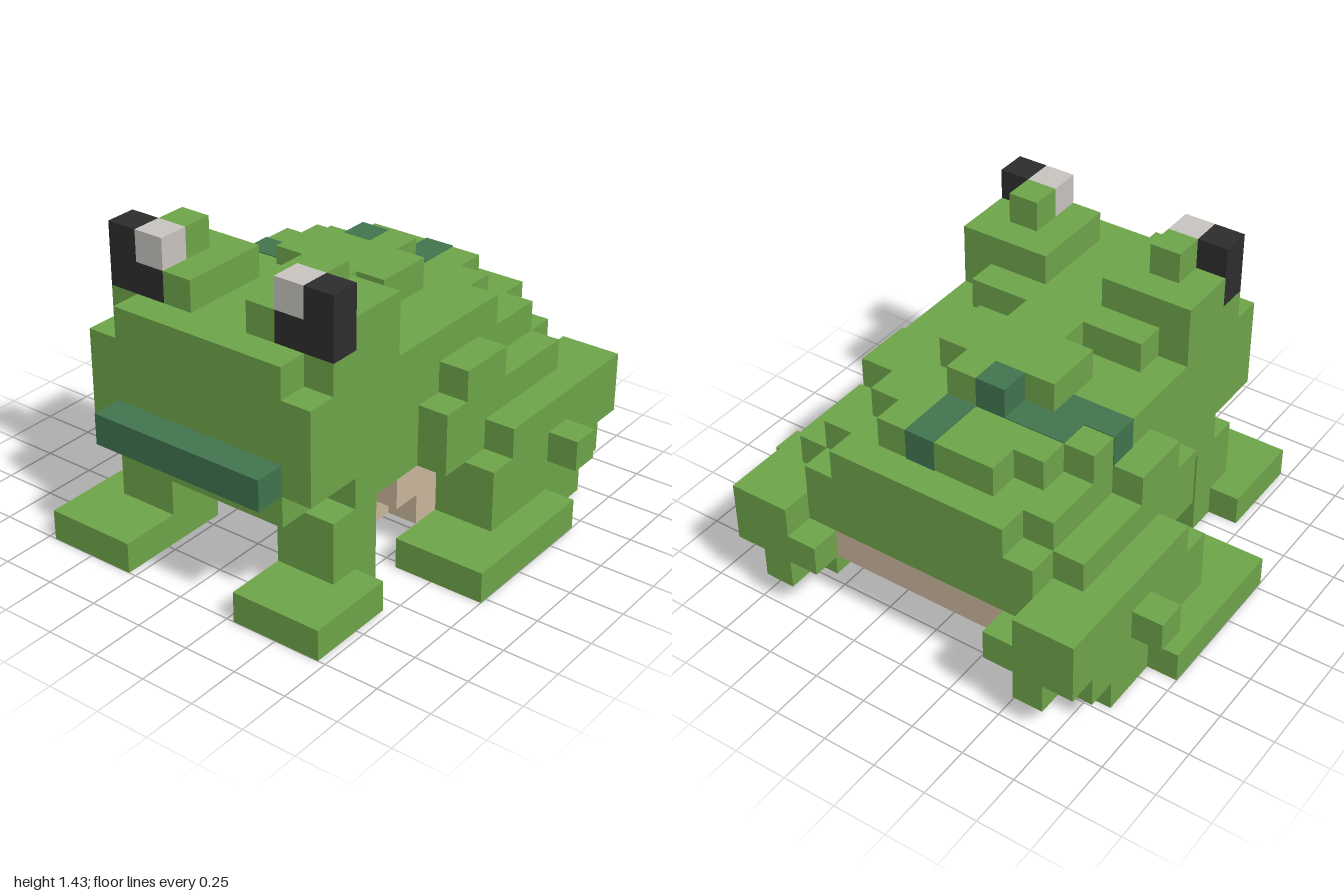
import * as THREE from 'three';

const U = 1 / 7; // edge of one block

const material = (name, color) => {
  const m = new THREE.MeshStandardMaterial({ color });
  m.name = name;
  return m;
};

export function createModel() {
  const green = material('skin green', 0x6fa54a);
  const teal = material('dark teal green', 0x42754f);
  const tan = material('belly tan', 0xcab79c);
  const black = material('eye black', 0x2d2d2d);
  const white = material('eye light grey', 0xc9c5bf);

  const model = new THREE.Group();
  model.name = 'frog';

  // Box between two corners, given in blocks
  const block = (parent, name, mat, x0, x1, y0, y1, z0, z1) => {
    const mesh = new THREE.Mesh(
      new THREE.BoxGeometry((x1 - x0) * U, (y1 - y0) * U, (z1 - z0) * U), mat);
    mesh.position.set((x0 + x1) * U / 2, (y0 + y1) * U / 2, (z0 + z1) * U / 2);
    mesh.name = name;
    parent.add(mesh);
  };
  // Layers symmetric about x = 0: [half width, y0, y1, z0, z1]
  const layers = (name, mat, list) => {
    const group = new THREE.Group();
    group.name = name;
    for (const [w, ...r] of list) block(group, name + 'Layer', mat, -w, w, ...r);
    model.add(group);
  };
  // Blocks made once for each side: [name, material, x0, x1, y0, y1, z0, z1]
  const pair = (name, list) => {
    for (const side of [1, -1]) {
      const group = new THREE.Group();
      group.name = (side > 0 ? 'left' : 'right') + name;
      for (const [n, mat, a, b, ...r] of list)
        block(group, n, mat, side > 0 ? a : -b, side > 0 ? b : -a, ...r);
      model.add(group);
    }
  };

  // Head and trunk
  layers('body', green, [
    [4, 3, 6, -5, 4],
    [4, 4, 7, 0, 6],
    [3, 3, 4, 4, 6],
    [3, 3, 6, -6, -5],
    [4, 4, 5, -6, -5],
    [5, 4, 5, -5, 1],
    [5, 5, 6, -2, 0],
  ]);
  // Stepped back
  layers('back', green, [
    [4, 6, 7, -3, 0],
    [3, 6, 7, -4, -3],
    [2, 6, 7, -5, -4],
    [3, 7, 8, 5, 6],
    [4, 7, 8, 2, 5],
    [3, 7, 8, 1, 2],
    [1, 7, 8, 0, 1],
    [2, 7, 8, -2, 0],
  ]);
  block(model, 'backRidgeEnd', green, 0, 1, 7, 8, -3, -2);

  // Markings on the back
  const e = 0.03;
  block(model, 'backSpot', teal, -1, 0, 7, 8, -3, -2);
  block(model, 'rearStripe', teal, 0, 1, 6, 7 + e, -5 - e, -3);
  block(model, 'middleStripe', teal, -3, -1, 6.9, 7 + e, -3, -2);
  block(model, 'sideStripe', teal, -4 - e, -2, 6, 7 + e, -2, -1);

  block(model, 'mouth', teal, -3, 3, 4, 5, 6, 7);

  // Belly with a rounded pad underneath
  layers('belly', tan, [
    [4, 2, 3, -5, 2],
    [3, 2, 3, -6, 3],
    [2, 2, 3, 3, 4],
    [4, 1, 2, -4, 1],
    [3, 1, 2, -5, 2],
    [2, 1, 2, 2, 3],
    [2, 0, 1, -2, 0],
    [1, 0, 1, -3, 1],
  ]);

  pair('Eye', [
    ['brow', green, 1, 2, 8, 9, 2, 5],
    ['brow', green, 2, 4, 8, 9, 2, 4],
    ['eyeBack', green, 2, 3, 9, 10, 3, 4],
    ['pupil', black, 3, 4, 8, 10, 4, 5],
    ['pupilBase', black, 2, 3, 8, 9, 4, 5],
    ['eyeWhite', white, 2, 3, 9, 10, 4, 5],
  ]);

  pair('FrontLeg', [
    ['frontLeg', green, 2, 4, 1, 3, 3, 5],
    ['frontFoot', green, 2, 5, 0, 1, 4, 7],
    ['frontHeel', green, 2, 4, 0, 1, 3, 4],
  ]);

  pair('HindLeg', [
    ['innerThigh', green, 4, 5, 1, 4, -6, 0],
    ['thighFront', green, 4, 5, 3, 5, -5, 1],
    ['outerThigh', green, 5, 6, 1, 3, -6, 0],
    ['thighTop', green, 5, 6, 3, 4, -6, -1],
    ['thighInside', green, 3, 4, 2, 4, -6, -4],
    ['rump', green, 4, 5, 1, 4, -7, -6],
    ['rumpInside', green, 3, 4, 2, 3, -7, -6],
    ['rumpOutside', green, 5, 6, 2, 4, -7, -6],
    ['knee', green, 6, 7, 2, 3, -4, -3],
    ['hindFoot', green, 4, 7, 0, 1, -3, 2],
    ['hindHeel', green, 4, 6, 0, 1, -5, -3],
  ]);

  return model;
}
